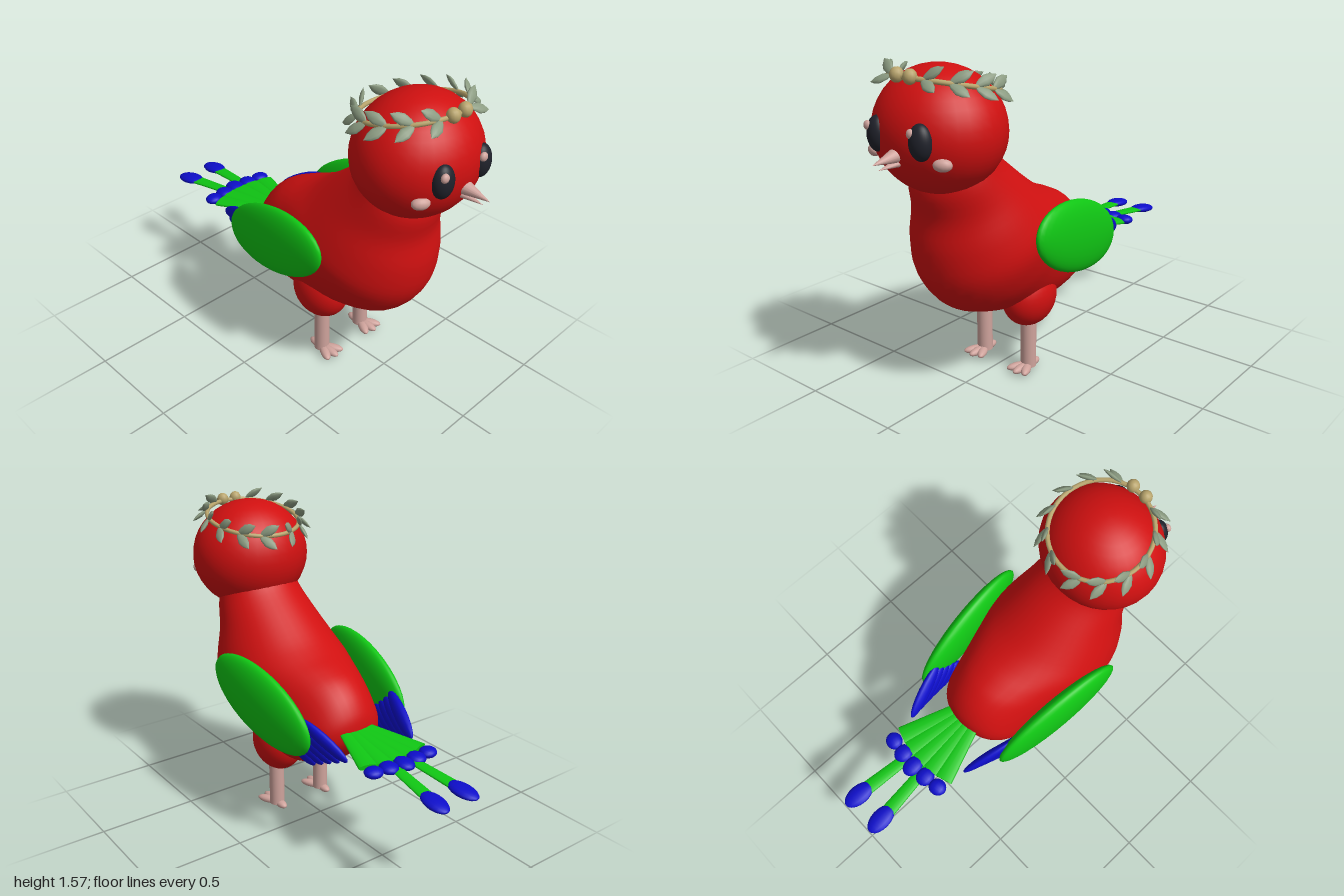
import * as THREE from 'three';

const V = (x, y, z) => new THREE.Vector3(x, y, z);
const material = (name, color) => {
  const m = new THREE.MeshStandardMaterial({ color });
  m.name = name;
  return m;
};

export function createModel() {
  const red = material('red plumage', 0xd01010);
  const green = material('green plumage', 0x10c614);
  const blue = material('blue feather tips', 0x0d0dca);
  const skin = material('pink skin', 0xcfa39c);
  const dark = material('dark eye', 0x20222b);
  const sage = material('sage leaf', 0x8c9c82);
  const straw = material('straw vine', 0xb8a46c);

  const model = new THREE.Group();
  model.name = 'bird';
  const ball = new THREE.SphereGeometry(1, 32, 20);
  const smallBall = new THREE.SphereGeometry(1, 14, 10);

  function add(parent, name, geo, mat, pos, scale = V(1, 1, 1)) {
    const mesh = new THREE.Mesh(geo, mat);
    mesh.name = name;
    mesh.position.copy(pos);
    mesh.scale.copy(scale);
    parent.add(mesh);
    return mesh;
  }

  // Stretch a unit shape (y from -1 to 1) from a to b, with its thin side along "flat"
  function span(parent, name, geo, mat, a, b, width, thick, flat) {
    const y = b.clone().sub(a);
    const half = y.length() / 2;
    y.normalize();
    const x = y.clone().cross(flat).normalize();
    const z = x.clone().cross(y);
    const mesh = add(parent, name, geo, mat, a.clone().lerp(b, 0.5), V(width, half, thick));
    mesh.quaternion.setFromRotationMatrix(new THREE.Matrix4().makeBasis(x, y, z));
    return mesh;
  }

  // Body: oval rings, each given by front z, y, back z, y and half width
  const rings = [
    [0.69, 1.12, 0.41, 1.22, 0.2], [0.72, 1.0, 0.36, 1.15, 0.222],
    [0.70, 0.87, 0.24, 1.05, 0.255], [0.71, 0.72, 0.1, 0.945, 0.3],
    [0.68, 0.56, 0, 0.89, 0.325], [0.58, 0.43, -0.1, 0.85, 0.305],
    [0.42, 0.36, -0.18, 0.81, 0.278], [0.2, 0.31, -0.245, 0.75, 0.253],
    [0.05, 0.315, -0.288, 0.68, 0.232], [-0.1, 0.36, -0.305, 0.62, 0.185],
    [-0.2, 0.42, -0.305, 0.56, 0.11], [-0.27, 0.49, -0.27, 0.49, 0.001],
  ];
  const curve = (k, l) => new THREE.CatmullRomCurve3(
    rings.map((r) => V(l === undefined ? 0 : r[l], r[k + 1] ?? 0, r[k])), false, 'catmullrom');
  const fronts = curve(0), backs = curve(2);
  const widths = new THREE.CatmullRomCurve3(rings.map((r, i) => V(r[4], i, 0)), false, 'catmullrom');
  const rows = 44, cols = 40, pos = [], index = [];
  for (let i = 0; i <= rows; i++) {
    const f = fronts.getPoint(i / rows), b = backs.getPoint(i / rows);
    const w = widths.getPoint(i / rows).x;
    const c = f.clone().lerp(b, 0.5);
    for (let j = 0; j < cols; j++) {
      const a = (j / cols) * Math.PI * 2;
      const p = c.clone().addScaledVector(f.clone().sub(c), Math.cos(a));
      pos.push(w * Math.sin(a), p.y, p.z);
      if (i < rows) {
        const n = (j + 1) % cols, r = i * cols, s = r + cols;
        index.push(r + j, s + j, r + n, s + j, s + n, r + n);
      }
    }
  }
  const bodyGeo = new THREE.BufferGeometry();
  bodyGeo.setAttribute('position', new THREE.Float32BufferAttribute(pos, 3));
  bodyGeo.setIndex(index);
  bodyGeo.computeVertexNormals();
  add(model, 'body', bodyGeo, red, V(0, 0, 0));

  // Head and beak
  add(model, 'head', ball, red, V(0, 1.275, 0.615), V(0.305, 0.28, 0.277));
  const cone = new THREE.CylinderGeometry(0.02, 1, 2, 16);
  span(model, 'upperBeak', cone, skin, V(0, 1.212, 0.87), V(0, 1.195, 1), 0.036, 0.033, V(0, 1, 0));
  span(model, 'lowerBeak', cone, skin, V(0, 1.178, 0.86), V(0, 1.168, 0.97), 0.026, 0.018, V(0, 1, 0));

  const feather = new THREE.CylinderGeometry(1, 0.55, 2, 12);
  for (const s of [1, -1]) {
    const side = s > 0 ? 'left' : 'right';

    // Face
    add(model, side + 'Eye', ball, dark, V(s * 0.125, 1.28, 0.852), V(0.053, 0.078, 0.045)).rotation.y = s * 0.2;
    add(model, side + 'EyeGlint', smallBall, skin, V(s * 0.125 - 0.025, 1.316, 0.882), V(0.021, 0.021, 0.016));
    add(model, side + 'Cheek', smallBall, skin, V(s * 0.2, 1.19, 0.81), V(0.042, 0.028, 0.027)).rotation.y = s * 0.5;

    // Wing with a fan of blue tip feathers
    const wing = add(model, side + 'Wing', ball, green, V(s * 0.322, 0.7, 0.05), V(0.058, 0.176, 0.366));
    wing.rotation.set(-0.3, s * 0.1, 0, 'YXZ');
    for (let i = 0; i < 5; i++) {
      span(model, side + 'WingTip', smallBall, blue,
        V(s * (0.275 - i * 0.004), 0.7 - i * 0.035, -0.2 + i * 0.03),
        V(s * (0.195 + i * 0.012), 0.56 - i * 0.018, -0.465 + i * 0.045),
        0.042, 0.024, V(1, 0, s * 0.3));
    }

    // Leg, thigh and toes
    add(model, side + 'Thigh', ball, red, V(s * 0.138, 0.395, 0.185), V(0.118, 0.152, 0.155));
    add(model, side + 'Leg', new THREE.CylinderGeometry(0.039, 0.039, 0.29, 24), skin, V(s * 0.142, 0.165, 0.197));
    for (const a of [-0.5, 0, 0.5, Math.PI]) {
      const d = V(Math.sin(a), 0, Math.cos(a)), root = V(s * 0.142, 0.024, 0.2);
      span(model, side + 'Toe', smallBall, skin, root.clone().addScaledVector(d, -0.01),
        root.clone().addScaledVector(d, a > 3 ? 0.082 : 0.112), 0.024, 0.02, V(0, 1, 0));
    }

    // Long tail feather
    span(model, side + 'LongTailFeather', feather, green, V(s * 0.02, 0.592, -0.3),
      V(s * 0.08, 0.535, -0.87), 0.036, 0.011, V(0, 1, 0));
    span(model, side + 'LongTailTip', smallBall, blue, V(s * 0.078, 0.539, -0.835),
      V(s * 0.09, 0.52, -1), 0.049, 0.021, V(0, 1, 0));
  }

  // Short tail fan
  for (let i = -2; i <= 2; i++) {
    const a = i * 0.26, reach = 0.37;
    const root = V(i * 0.022, 0.602, -0.22);
    const end = V(i * 0.077, 0.566, -0.22 - reach * Math.cos(a * 0.7));
    const tip = V(i * 0.086, 0.56, -0.685 + Math.abs(i) * 0.017);
    span(model, 'tailFeather', feather, green, root, end, 0.05, 0.014, V(0, 1, 0));
    span(model, 'tailTip', smallBall, blue, V(i * 0.077, 0.566, -0.57), tip, 0.046, 0.024, V(0, 1, 0));
  }

  // Leaf wreath, higher at the front
  const wreath = new THREE.Group();
  wreath.name = 'wreath';
  wreath.position.set(0, 1.47, 0.58);
  wreath.rotation.x = -0.22;
  model.add(wreath);
  const R = 0.235;
  add(wreath, 'vine', new THREE.TorusGeometry(R, 0.011, 8, 48), straw, V(0, 0, 0)).rotation.x = Math.PI / 2;
  const leafGeo = new THREE.LatheGeometry(
    [[0, -1], [0.6, -0.6], [1, 0], [0.75, 0.5], [0, 1]].map(([x, y]) => new THREE.Vector2(x, y)), 10);
  for (const s of [1, -1]) {
    add(wreath, 'berry', smallBall, straw, V(s * 0.038, 0.005, R + 0.005), V(0.03, 0.033, 0.03));
    for (let i = 0; i < 6; i++) {
      const a = 0.36 + i * 0.47;
      const out = V(s * Math.sin(a), 0, Math.cos(a));
      const along = V(s * Math.cos(a), 0, -Math.sin(a));
      const root = out.clone().multiplyScalar(R);
      for (const up of [1, -1]) {
        const dir = along.clone().multiplyScalar(0.75)
          .addScaledVector(out, up > 0 ? 0.05 : 0.5).add(V(0, up > 0 ? 0.5 : -0.36, 0)).normalize();
        span(wreath, 'leaf', leafGeo, sage, root, root.clone().addScaledVector(dir, 0.112),
          0.026, 0.011, out.clone().add(V(0, 0.6, 0)));
      }
    }
  }
  return model;
}
